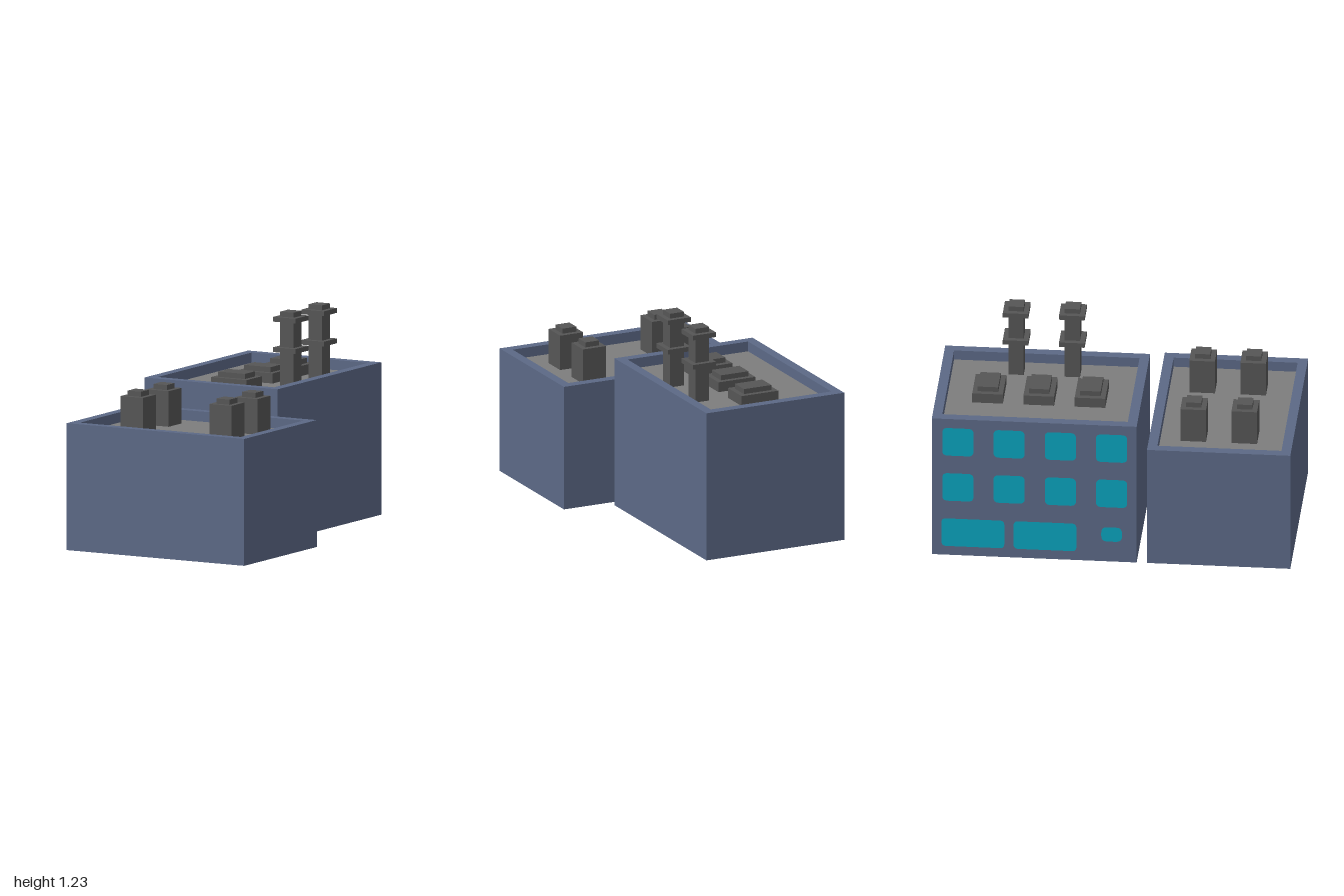
import * as THREE from 'three';

const RIM_W = 0.054; // parapet width
const RIM_H = 0.057; // parapet height above the roof deck

function material(name, color) {
  const m = new THREE.MeshStandardMaterial({ color });
  m.name = name;
  return m;
}

// Rectangle outline, optionally with rounded corners, centred on (x, y)
function rect(Type, x, y, w, h, r = 0) {
  const p = new Type();
  const x0 = x - w / 2, x1 = x + w / 2, y0 = y - h / 2, y1 = y + h / 2;
  p.moveTo(x0 + r, y0).lineTo(x1 - r, y0);
  if (r) p.quadraticCurveTo(x1, y0, x1, y0 + r);
  p.lineTo(x1, y1 - r);
  if (r) p.quadraticCurveTo(x1, y1, x1 - r, y1);
  p.lineTo(x0 + r, y1);
  if (r) p.quadraticCurveTo(x0, y1, x0, y1 - r);
  p.lineTo(x0, y0 + r);
  if (r) p.quadraticCurveTo(x0, y0, x0 + r, y0);
  return p;
}

export function createModel() {
  const wall = material('wall blue', 0x5c6986);
  const roof = material('roof grey', 0x7d7d7d);
  const metal = material('dark grey', 0x565656);
  const glass = material('window teal', 0x0aa3bd);
  const model = new THREE.Group();
  model.name = 'buildings';

  function add(parent, name, geometry, mat) {
    const mesh = new THREE.Mesh(geometry, mat);
    mesh.name = name;
    parent.add(mesh);
    return mesh;
  }

  // Box standing on y0 and reaching y1
  function block(parent, name, x, z, w, d, y0, y1, mat) {
    add(parent, name, new THREE.BoxGeometry(w, y1 - y0, d), mat).position.set(x, (y0 + y1) / 2, z);
  }

  function group(name, parent) {
    const g = new THREE.Group();
    g.name = name;
    parent.add(g);
    return g;
  }

  // Solid body with a roof deck, surrounded by a raised parapet
  function building(name, x, z, w, d, h) {
    const g = group(name, model);
    const deck = h - RIM_H;
    block(g, 'body', x, z, w, d, 0, deck, [wall, wall, roof, wall, wall, wall]);
    const ring = rect(THREE.Shape, 0, 0, w, d);
    ring.holes.push(rect(THREE.Path, 0, 0, w - 2 * RIM_W, d - 2 * RIM_W));
    const geo = new THREE.ExtrudeGeometry(ring, { depth: RIM_H, bevelEnabled: false });
    geo.rotateX(-Math.PI / 2);
    add(g, 'parapet', geo, wall).position.set(x, deck, z);
    return g;
  }

  const front = building('frontBuilding', 0, 0.6, 1.143, 0.8, 0.714);
  const back = building('backBuilding', -0.143, -0.429, 0.857, 1.143, 0.857);

  // Square roof vents on the front building
  for (const x of [-0.273, 0.298]) {
    for (const z of [0.438, 0.723]) {
      const g = group('roofVent', front);
      block(g, 'ventBox', x, z, 0.143, 0.143, 0.657, 0.857, metal);
      block(g, 'ventCap', x, z, 0.086, 0.086, 0.857, 0.886, metal);
    }
  }

  // Low roof hatches on the back building
  for (const z of [-0.717, -0.431, -0.145]) {
    const g = group('roofHatch', back);
    block(g, 'hatchBase', -0.146, z, 0.229, 0.171, 0.8, 0.857, metal);
    block(g, 'hatchLid', -0.146, z, 0.171, 0.114, 0.857, 0.886, metal);
  }

  // Tall chimneys with two collars
  for (const z of [-0.588, -0.274]) {
    const g = group('chimney', back);
    block(g, 'shaft', 0.127, z, 0.086, 0.086, 0.8, 1.229, metal);
    for (const y of [1.003, 1.174]) block(g, 'collar', 0.127, z, 0.143, 0.143, y, y + 0.027, metal);
  }

  // Rounded window panes on the left-hand wall: [z, y, width, height, radius]
  const panes = [
    [-0.771, 0.143, 0.35, 0.174, 0.025],
    [-0.369, 0.143, 0.35, 0.174, 0.025],
    [0.003, 0.171, 0.116, 0.09, 0.035],
  ];
  for (const y of [0.429, 0.714]) {
    for (let i = 0; i < 4; i++) panes.push([-0.855 + i * 0.286, y, 0.174, 0.174, 0.03]);
  }
  for (const [z, y, w, h, r] of panes) {
    const geo = new THREE.ShapeGeometry(rect(THREE.Shape, 0, 0, w, h, r), 5);
    geo.rotateY(-Math.PI / 2);
    add(back, 'window', geo, glass).position.set(-0.5735, y, z);
  }

  return model;
}
